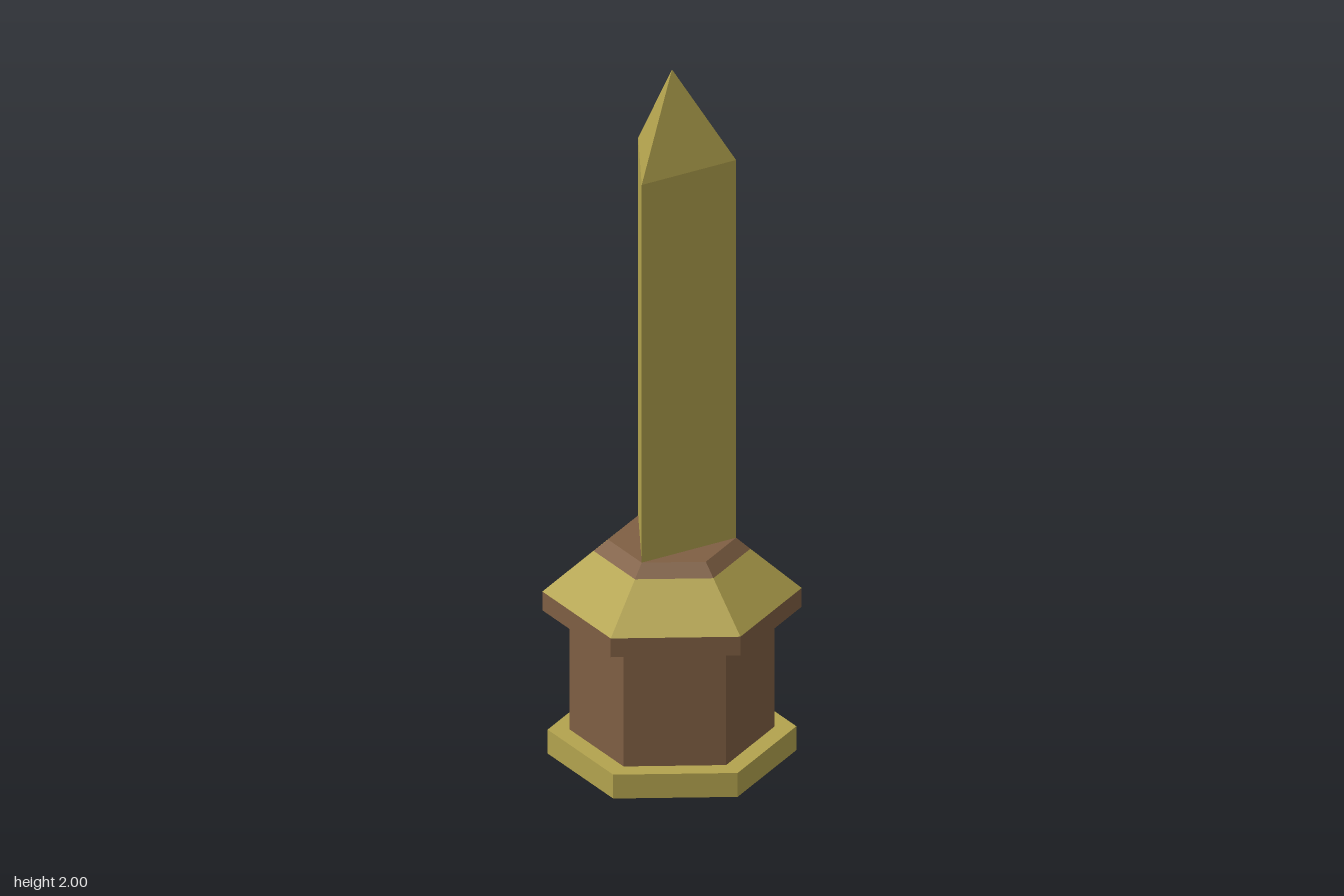
import * as THREE from 'three';

export function createModel() {
  const model = new THREE.Group();
  model.name = 'obelisk';

  const gold = new THREE.MeshStandardMaterial({ color: 0xb3a34e, flatShading: true });
  gold.name = 'gold';
  const brown = new THREE.MeshStandardMaterial({ color: 0x7f5f43, flatShading: true });
  brown.name = 'brown';

  // Prism or frustum standing between two heights; open ones have no end faces
  function prism(name, material, sides, rBottom, rTop, y0, y1, open = false) {
    const geometry = new THREE.CylinderGeometry(rTop, rBottom, y1 - y0, sides, 1, open);
    const mesh = new THREE.Mesh(geometry, material);
    mesh.name = name;
    mesh.position.y = (y0 + y1) / 2;
    model.add(mesh);
    return mesh;
  }

  // Hexagonal pedestal
  prism('plinth', gold, 6, 0.33, 0.33, 0, 0.07);
  prism('pedestal', brown, 6, 0.272, 0.272, 0.07, 0.42);
  prism('cornice', brown, 6, 0.344, 0.344, 0.42, 0.475);

  // Sloped roof with a brown upper band
  prism('roof', gold, 6, 0.344, 0.208, 0.475, 0.592, true);
  prism('roofCap', brown, 6, 0.208, 0.17, 0.592, 0.625);

  // Three-sided shaft and its pointed tip, flat side to the front
  const shaft = prism('shaft', gold, 3, 0.17, 0.17, 0.625, 1.732, true);
  const tip = new THREE.Mesh(new THREE.ConeGeometry(0.17, 0.268, 3, 1, true), gold);
  tip.name = 'tip';
  tip.position.y = 1.866;
  model.add(tip);
  for (const part of [shaft, tip]) part.rotation.y = Math.PI;

  return model;
}
